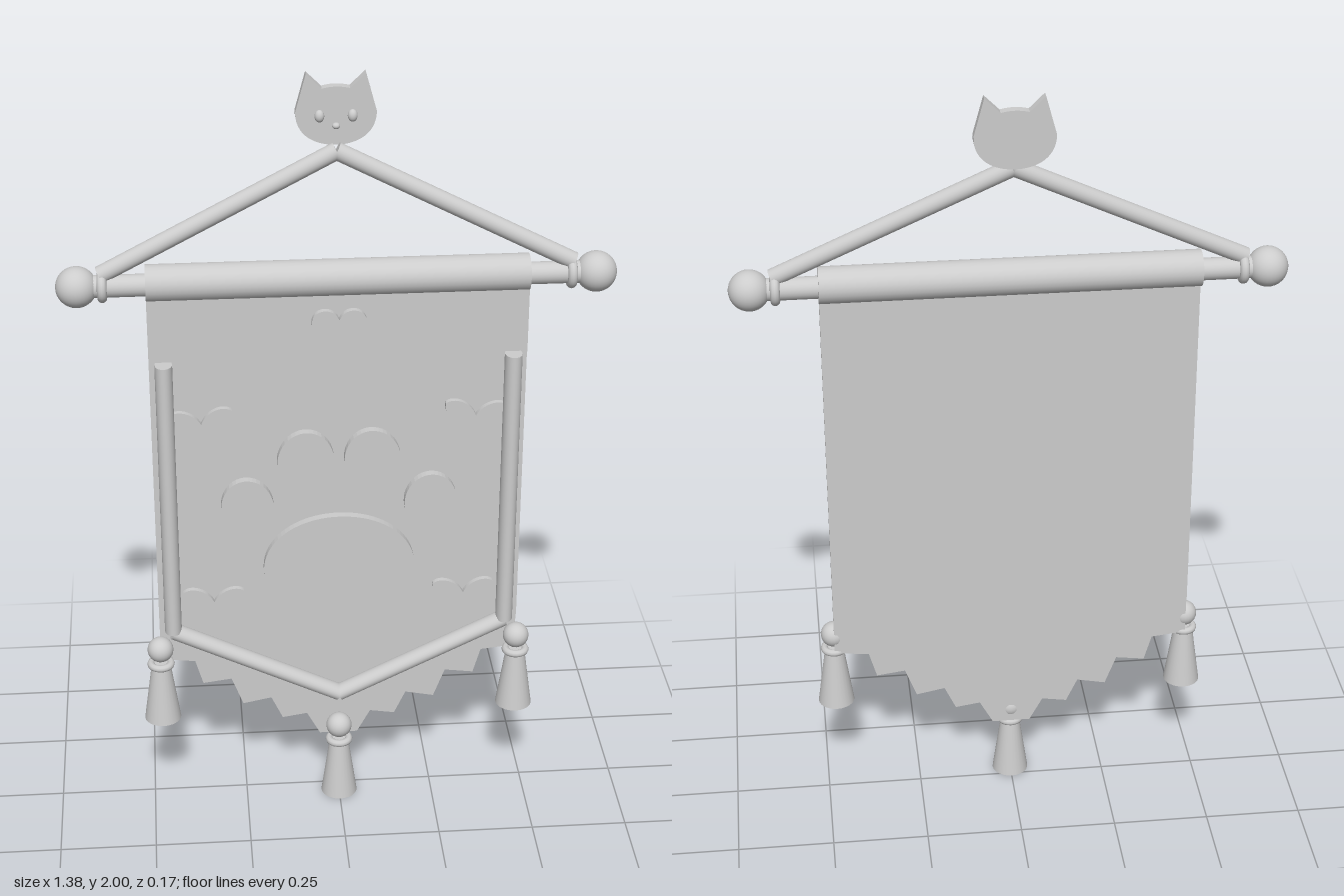
import * as THREE from 'three';

export function createModel() {
  const model = new THREE.Group();
  const grey = new THREE.MeshStandardMaterial({ color: 0xcccccc });
  grey.name = 'light grey';

  const add = (name, geometry, x = 0, y = 0, z = 0) => {
    const mesh = new THREE.Mesh(geometry, grey);
    mesh.name = name;
    mesh.position.set(x, y, z);
    model.add(mesh);
    return mesh;
  };
  const v2 = (pts) => pts.map(([x, y]) => new THREE.Vector2(x, y));
  // flat plate between two depths
  const plate = (name, shape, z0, z1, x = 0, y = 0) =>
    add(name, new THREE.ExtrudeGeometry(shape, { depth: z1 - z0, bevelEnabled: false, curveSegments: 20 }), x, y, z0);
  // straight bar from a to b, optionally oval in depth
  const bar = (name, a, b, r, depthScale = 1) => {
    const p = new THREE.Vector3(...a), q = new THREE.Vector3(...b);
    const dir = q.clone().sub(p);
    const g = new THREE.CylinderGeometry(r, r, dir.length(), 24);
    g.scale(1, 1, depthScale);
    const mesh = add(name, g);
    mesh.position.copy(p).add(q).multiplyScalar(0.5);
    mesh.quaternion.setFromUnitVectors(new THREE.Vector3(0, 1, 0), dir.normalize());
    return mesh;
  };
  const ellipse = (rx, ry, turn = 0) => {
    const s = new THREE.Shape();
    s.absellipse(0, 0, rx, ry, 0, Math.PI * 2, false, turn);
    return s;
  };

  // pointed cloth
  plate('banner', new THREE.Shape(v2([[-0.47, 1.5], [-0.47, 0.53], [0, 0.31], [0.47, 0.53], [0.47, 1.5]])), 0, 0.026);

  // zigzag fringe under the point
  const zig = [[0.47, 0.43], [0.38, 0.42], [0.36, 0.35], [0.285, 0.36], [0.255, 0.28],
    [0.18, 0.295], [0.15, 0.23], [0.085, 0.24], [0.05, 0.175]];
  const left = zig.map(([x, y]) => [-x, y]);
  plate('fringe', new THREE.Shape(v2([[-0.47, 0.54], ...left, ...zig.slice().reverse(), [0.47, 0.54], [0, 0.33]])), 0.005, 0.018);

  // wavy upper band
  const wave = new THREE.Shape();
  wave.moveTo(-0.47, 1.5);
  wave.lineTo(-0.47, 1.3);
  wave.splineThru(v2([[-0.42, 1.285], [-0.36, 1.275], [-0.23, 1.302], [-0.12, 1.275], [0, 1.3],
    [0.12, 1.275], [0.23, 1.302], [0.36, 1.275], [0.42, 1.285], [0.47, 1.3]]));
  wave.lineTo(0.47, 1.5);
  plate('upperBand', wave, 0.024, 0.032);

  // heart
  const heart = new THREE.Shape();
  heart.moveTo(0, -0.058);
  heart.bezierCurveTo(0.03, -0.03, 0.068, -0.005, 0.068, 0.025);
  heart.bezierCurveTo(0.068, 0.065, 0.012, 0.07, 0, 0.032);
  heart.bezierCurveTo(-0.012, 0.07, -0.068, 0.065, -0.068, 0.025);
  heart.bezierCurveTo(-0.068, -0.005, -0.03, -0.03, 0, -0.058);
  plate('heart', heart, 0.03, 0.048, 0, 1.375);

  // paw print
  const pad = new THREE.Shape();
  pad.moveTo(0, 0.165);
  pad.bezierCurveTo(0.11, 0.165, 0.195, 0.1, 0.195, 0.015);
  pad.bezierCurveTo(0.195, -0.09, 0.13, -0.16, 0, -0.16);
  pad.bezierCurveTo(-0.13, -0.16, -0.195, -0.09, -0.195, 0.015);
  pad.bezierCurveTo(-0.195, 0.1, -0.11, 0.165, 0, 0.165);
  plate('pawPad', pad, 0.024, 0.048, 0, 0.693);

  // paired leaves for the corners
  const leaves = new THREE.Shape();
  leaves.moveTo(0, -0.045);
  leaves.bezierCurveTo(0.045, -0.045, 0.08, -0.005, 0.08, 0.035);
  leaves.bezierCurveTo(0.06, 0.055, 0.015, 0.04, 0, 0.005);
  leaves.bezierCurveTo(-0.015, 0.04, -0.06, 0.055, -0.08, 0.035);
  leaves.bezierCurveTo(-0.08, -0.005, -0.045, -0.045, 0, -0.045);

  for (const s of [-1, 1]) {
    plate('innerToe', ellipse(0.072, 0.084, s * 0.1), 0.024, 0.048, s * 0.085, 1.017);
    plate('outerToe', ellipse(0.067, 0.078, -s * 0.1), 0.024, 0.048, s * 0.234, 0.892);
    plate('upperLeaves', leaves, 0.024, 0.04, s * 0.345, 1.125).rotation.z = -s * 0.08;
    plate('lowerLeaves', leaves, 0.024, 0.04, s * 0.325, 0.607);

    // padded trim
    bar('sideTrim', [s * 0.434, 0.535, 0.045], [s * 0.434, 1.302, 0.045], 0.022, 1.3);
    bar('lowerTrim', [s * 0.434, 0.532, 0.043], [0, 0.32, 0.043], 0.021, 1.2);

    // rod ends and hanging cord
    add('finial', new THREE.SphereGeometry(0.051, 32, 20), s * 0.637, 1.5, 0.006);
    const ring = add('rodRing', new THREE.TorusGeometry(0.029, 0.012, 12, 28), s * 0.575, 1.5, 0.006);
    ring.rotation.y = Math.PI / 2;
    bar('cord', [s * 0.58, 1.53, 0.008], [0, 1.812, -0.045], 0.022);
  }

  // rod and the cloth sleeve around it
  bar('rod', [-0.62, 1.5, 0.006], [0.62, 1.5, 0.006], 0.028);
  bar('sleeve', [-0.47, 1.505, 0.006], [0.47, 1.505, 0.006], 0.046);

  // tassels
  const tassel = (x, y) => {
    add('tasselBead', new THREE.SphereGeometry(0.034, 24, 16), x, y + 0.21, 0.035);
    const collar = add('tasselCollar', new THREE.TorusGeometry(0.026, 0.01, 10, 24), x, y + 0.166, 0.035);
    collar.rotation.x = Math.PI / 2;
    add('tasselSkirt', new THREE.CylinderGeometry(0.024, 0.048, 0.17, 24), x, y + 0.085, 0.035);
  };
  tassel(-0.47, 0.262);
  tassel(0.47, 0.262);
  tassel(0, 0);

  // cat head ornament
  const head = new THREE.Shape();
  head.moveTo(0, 1.822);
  head.bezierCurveTo(0.055, 1.822, 0.098, 1.85, 0.098, 1.905);
  head.lineTo(0.072, 2);
  head.lineTo(0.034, 1.963);
  head.quadraticCurveTo(0, 1.972, -0.034, 1.963);
  head.lineTo(-0.072, 2);
  head.lineTo(-0.098, 1.905);
  head.bezierCurveTo(-0.098, 1.85, -0.055, 1.822, 0, 1.822);
  plate('catHead', head, -0.084, -0.06);
  for (const [name, x, y, r] of [['eye', -0.04, 1.895, 0.012], ['eye', 0.04, 1.895, 0.012], ['nose', 0, 1.87, 0.01]]) {
    add(name, new THREE.SphereGeometry(r, 16, 12), x, y, -0.06).scale.y = name === 'eye' ? 1.3 : 0.8;
  }
  return model;
}
